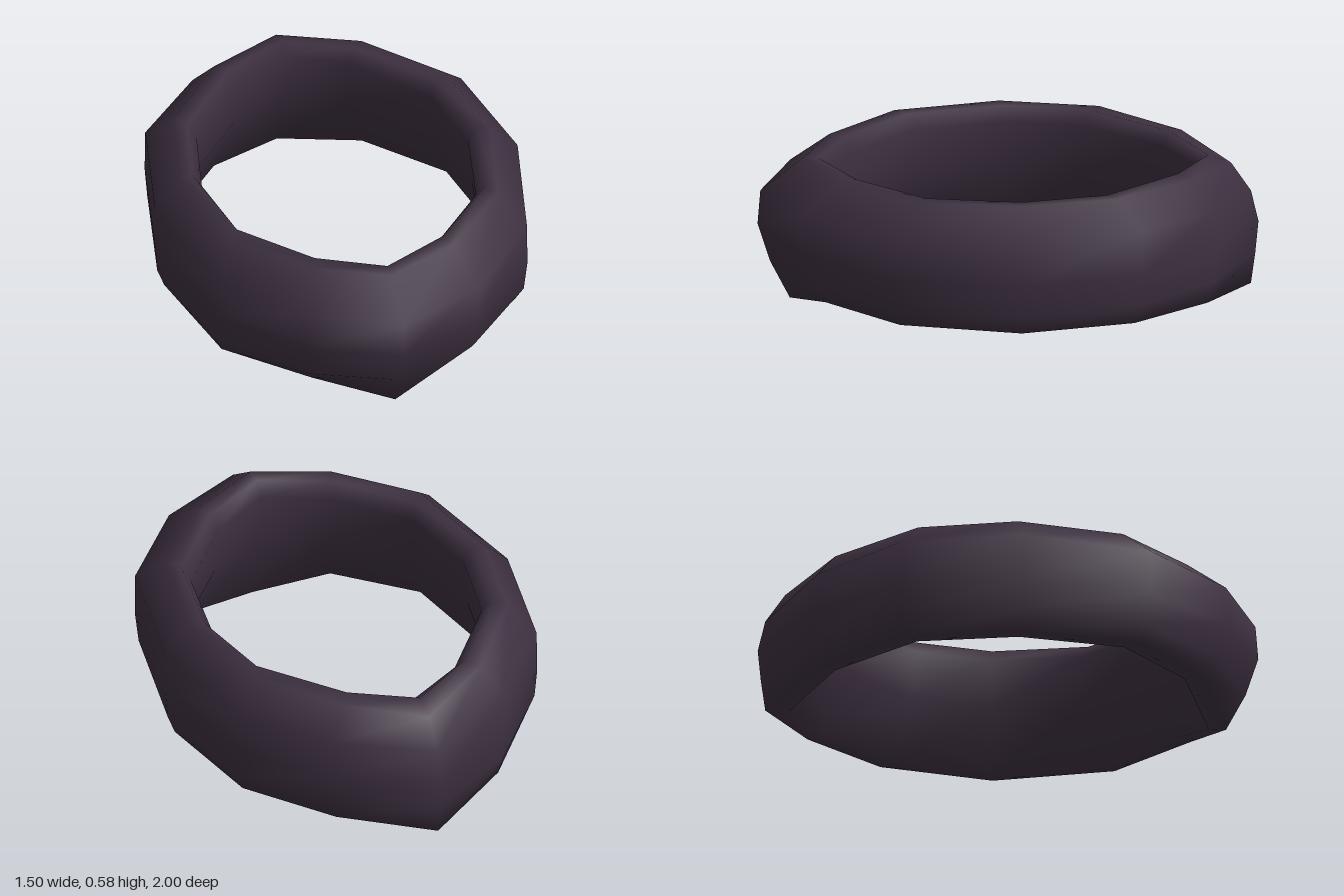
import * as THREE from 'three';

// Half plan from front to back: outer x,z, inner x,z, bottom height
const stations = [
  [0, 1, 0, 0.72, 0.005],
  [0.35, 0.85, 0.25, 0.59, 0.09],
  [0.645, 0.52, 0.485, 0.33, 0.09],
  [0.75, 0, 0.55, -0.02, 0.078],
  [0.655, -0.49, 0.485, -0.33, 0.08],
  [0.38, -0.8, 0.23, -0.63, 0.065],
  [0, -1, 0, -0.75, 0.02],
];

// Cross-sections as [t, y]; t runs from inner (0) to outer (1) wall.
// Order: outer bottom, up the outside, over the top, down the inside.
const front = [[0.54, 0], [0.82, 0.16], [1, 0.32], [0.96, 0.46], [0.36, 0.59], [0.13, 0.59], [0, 0.53], [0.03, 0.33], [0.29, 0]];
const side = [[0.8, 0], [0.95, 0.16], [1, 0.29], [1, 0.48], [0.45, 0.59], [0.18, 0.588], [0, 0.53], [0.08, 0.33], [0.5, 0]];
const back = [[0.88, 0], [0.95, 0.15], [1, 0.28], [0.88, 0.41], [0.56, 0.53], [0.2, 0.565], [0, 0.53], [0.06, 0.33], [0.5, 0]];
const frontWeight = [1, 0.7, 0.15, 0, 0, 0, 0];
const backWeight = [0, 0, 0, 0, 0.1, 0.4, 1];

// One closed cross-section, mirrored by sign
function section(i, sign) {
  const [ox, oz, ix, iz, bottom] = stations[i];
  const f = frontWeight[i], b = backWeight[i], s = 1 - f - b;
  return side.map((p, j) => {
    const t = front[j][0] * f + p[0] * s + back[j][0] * b;
    const y = front[j][1] * f + p[1] * s + back[j][1] * b;
    const atBottom = j === 0 || j === side.length - 1;
    return [sign * (ix + (ox - ix) * t), atBottom ? bottom : y, iz + (oz - iz) * t];
  });
}

function bandGeometry() {
  const rings = [];
  for (let i = 0; i <= 6; i++) rings.push(section(i, 1));
  for (let i = 5; i >= 1; i--) rings.push(section(i, -1));
  const n = rings.length, m = side.length, index = [];
  for (let i = 0; i < n; i++) {
    for (let j = 0; j < m; j++) {
      const i2 = (i + 1) % n, j2 = (j + 1) % m;
      const a = i * m + j, b = i2 * m + j, c = i2 * m + j2, d = i * m + j2;
      index.push(a, b, c, a, c, d);
    }
  }
  const geometry = new THREE.BufferGeometry();
  geometry.setAttribute('position', new THREE.Float32BufferAttribute(rings.flat(2), 3));
  geometry.setIndex(index);
  geometry.computeVertexNormals();
  return geometry;
}

export function createModel() {
  const group = new THREE.Group();
  group.name = 'ring';
  const band = new THREE.Mesh(bandGeometry(), new THREE.MeshStandardMaterial({ color: 0x3d3040 }));
  band.name = 'band';
  group.add(band);
  return group;
}
